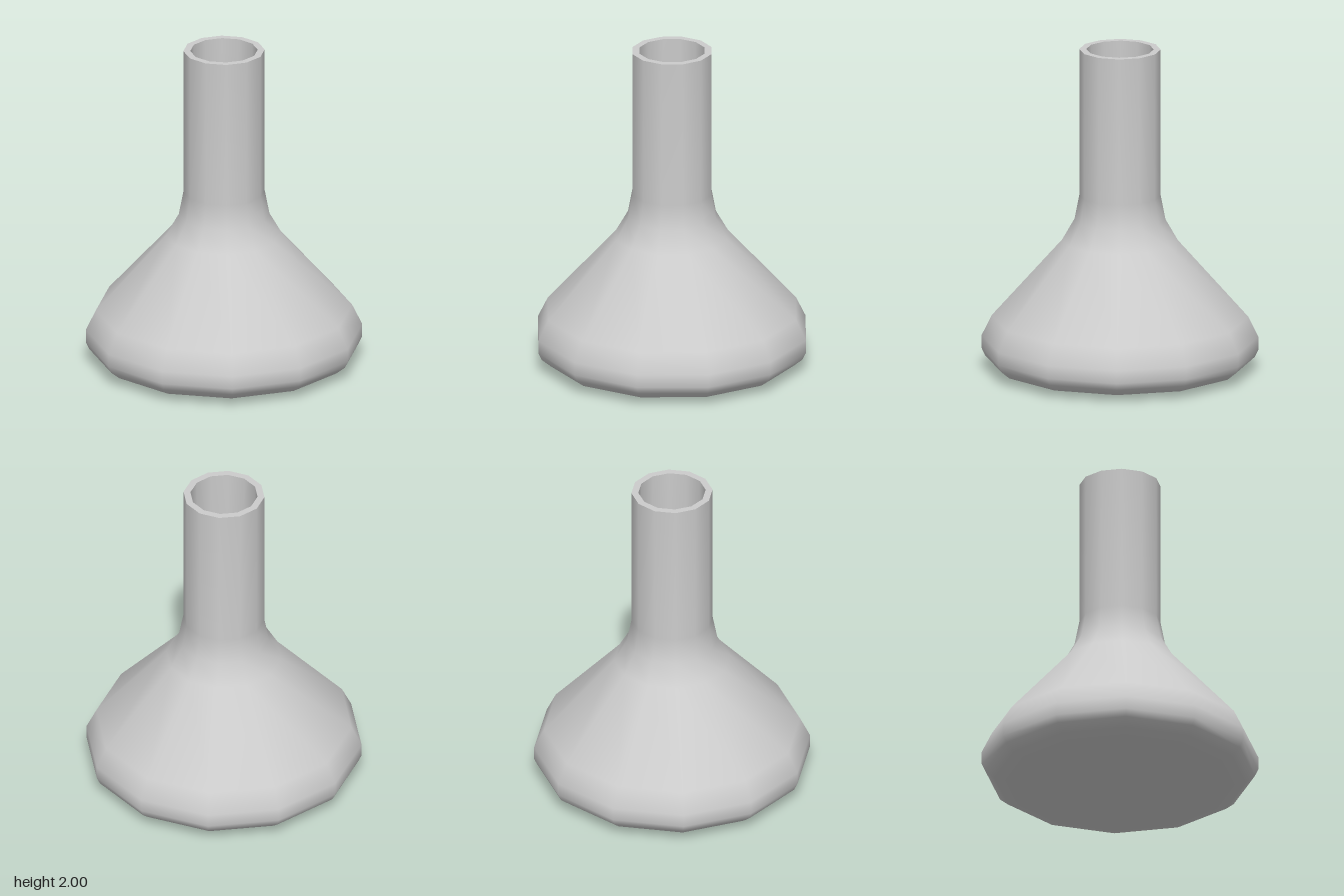
import * as THREE from 'three';

const SIDES = 12;

export function createModel() {
  const group = new THREE.Group();
  group.name = 'flask';
  const material = new THREE.MeshStandardMaterial({ color: 0xcccccc });

  // Each profile is a list of [radius, height]; separate lathes keep the lip edges sharp
  const addLathe = (name, profile) => {
    const points = profile.map(([r, y]) => new THREE.Vector2(r, y));
    const mesh = new THREE.Mesh(new THREE.LatheGeometry(points, SIDES), material);
    mesh.name = name;
    group.add(mesh);
  };

  // Base, rounded belly, sloping shoulder and straight neck
  addLathe('outerWall', [
    [0, 0], [0.6, 0], [0.76, 0.04], [0.815, 0.085], [0.836, 0.13], [0.836, 0.21],
    [0.775, 0.335], [0.35, 0.81], [0.275, 0.94], [0.246, 1.09], [0.246, 2],
  ]);

  // Flat ring around the mouth
  addLathe('lip', [[0.246, 2], [0.204, 2]]);

  // Hollow inside, following the outer wall
  addLathe('innerWall', [
    [0.204, 2], [0.204, 1.09], [0.235, 0.93], [0.315, 0.79], [0.74, 0.315],
    [0.795, 0.205], [0.795, 0.135], [0.74, 0.08], [0.6, 0.04],
  ]);
  addLathe('innerFloor', [[0.6, 0.04], [0, 0.04]]);

  return group;
}
